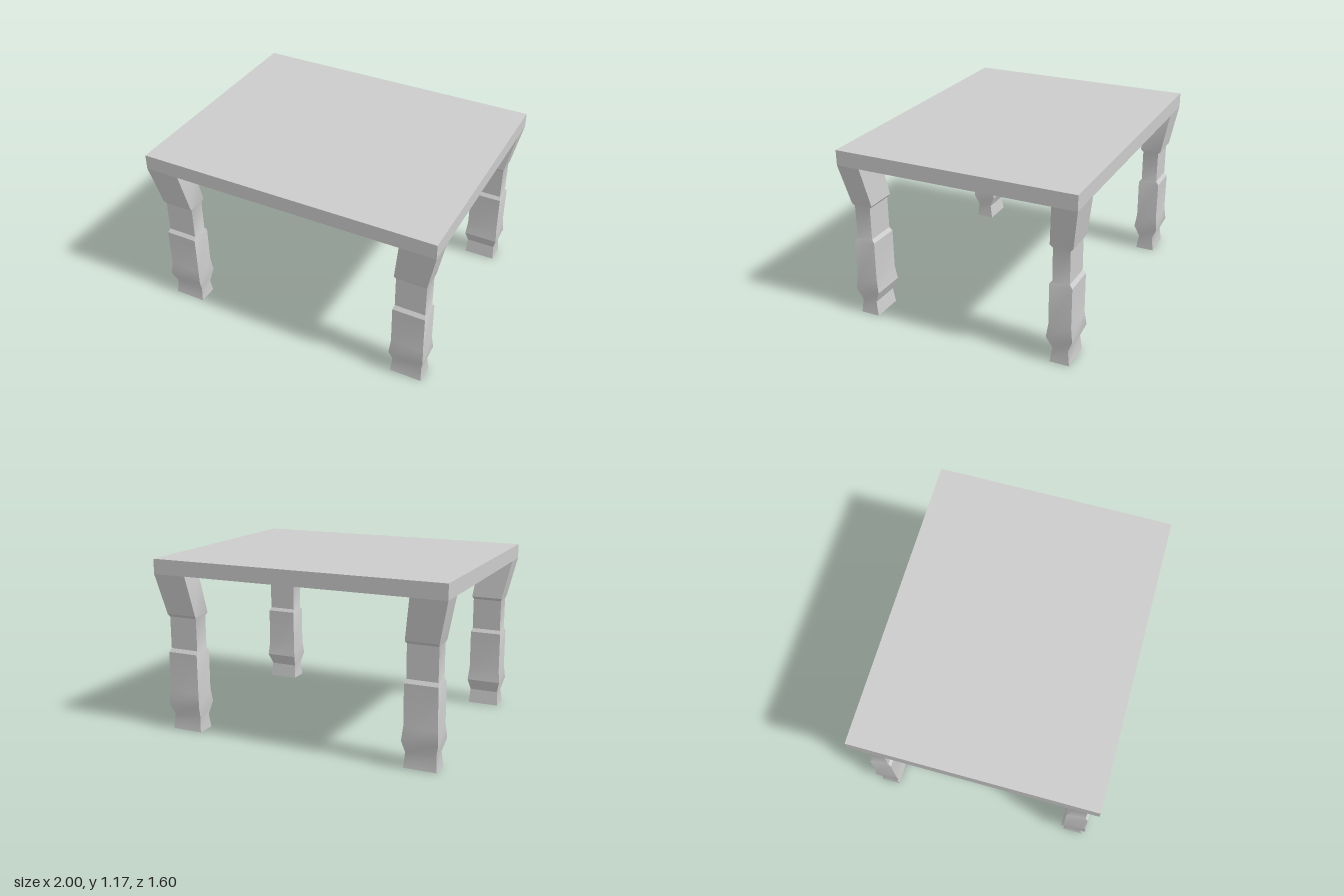
import * as THREE from 'three';
import { toCreasedNormals } from 'three/addons/utils/BufferGeometryUtils.js';

// Leg cross-sections from top to foot: [y, xInner, xOuter, zInner, zOuter]
const SECTIONS = [
  [1.07, 0.767, 1.0, 0.64, 0.8],
  [0.8, 0.727, 0.941, 0.609, 0.756],
  [0.78, 0.734, 0.935, 0.627, 0.738],
  [0.563, 0.734, 0.935, 0.627, 0.738],
  [0.54, 0.727, 0.943, 0.609, 0.757],
  [0.274, 0.727, 0.944, 0.61, 0.756],
  [0.18, 0.718, 0.953, 0.597, 0.768],
  [0.098, 0.733, 0.932, 0.633, 0.734],
  [0, 0.727, 0.94, 0.618, 0.747],
];

// A segmented box whose rows are fitted to the cross-sections
function legGeometry(sx, sz) {
  const rows = SECTIONS.length - 1;
  const geo = new THREE.BoxGeometry(1, 1, 1, 1, rows, 1);
  const p = geo.attributes.position;
  for (let i = 0; i < p.count; i++) {
    const [y, x0, x1, z0, z1] = SECTIONS[Math.round((0.5 - p.getY(i)) * rows)];
    p.setXYZ(
      i,
      sx * (x0 + x1) / 2 + p.getX(i) * (x1 - x0),
      y,
      sz * (z0 + z1) / 2 + p.getZ(i) * (z1 - z0)
    );
  }
  return toCreasedNormals(geo, 0.55);
}

export function createModel() {
  const group = new THREE.Group();
  group.name = 'table';
  const material = new THREE.MeshStandardMaterial({ color: 0xcccccc });

  // Flat slab top
  const top = new THREE.Mesh(new THREE.BoxGeometry(2, 0.1, 1.6), material);
  top.position.y = 1.12;
  top.name = 'tableTop';
  group.add(top);

  // Four carved legs, flaring out to the corners of the slab
  for (const sx of [-1, 1]) {
    for (const sz of [-1, 1]) {
      const leg = new THREE.Mesh(legGeometry(sx, sz), material);
      leg.name = (sz > 0 ? 'front' : 'back') + (sx > 0 ? 'Left' : 'Right') + 'Leg';
      group.add(leg);
    }
  }
  return group;
}
